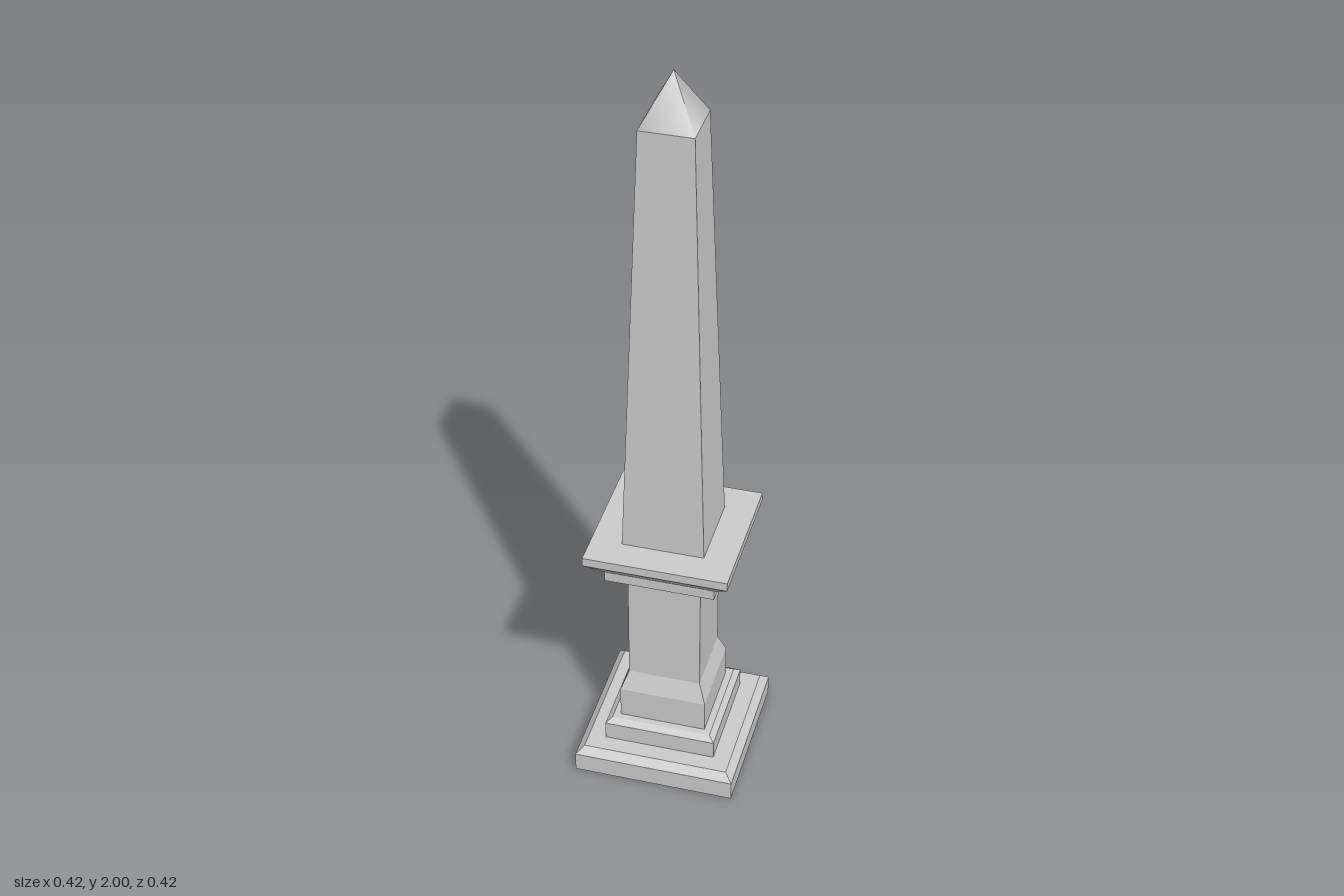
import * as THREE from 'three';

const stone = new THREE.MeshStandardMaterial({ color: 0xcccccc, flatShading: true });
const smoothStone = new THREE.MeshStandardMaterial({ color: 0xcccccc });

// Square moulding: profile of [half width, height] pairs, bottom to top, swept round four sides.
function squareMoulding(name, profile) {
  const points = profile.map(([half, y]) => new THREE.Vector2(half * Math.SQRT2, y));
  const mesh = new THREE.Mesh(new THREE.LatheGeometry(points, 4, Math.PI / 4), stone);
  mesh.name = name;
  return mesh;
}

export function createModel() {
  const group = new THREE.Group();
  group.name = 'obelisk';

  // Stepped base with chamfered top edges
  group.add(squareMoulding('plinth', [[0, 0], [0.212, 0], [0.212, 0.053], [0.192, 0.072], [0.13, 0.072]]));
  group.add(squareMoulding('step', [[0.147, 0.072], [0.147, 0.122], [0.132, 0.134], [0.1, 0.134]]));

  // Pedestal with a sloped foot
  group.add(squareMoulding('pedestal', [[0.114, 0.134], [0.114, 0.222], [0.095, 0.275], [0.095, 0.573]]));

  // Flaring cornice in two tiers
  group.add(squareMoulding('cornice', [
    [0.095, 0.573], [0.142, 0.612], [0.142, 0.643], [0.145, 0.643],
    [0.186, 0.686], [0.186, 0.71], [0.09, 0.71],
  ]));

  // Tapering shaft
  group.add(squareMoulding('shaft', [[0.106, 0.71], [0.067, 1.873]]));

  // Softly shaded pointed cap
  const cap = new THREE.Mesh(new THREE.ConeGeometry(0.067 * Math.SQRT2, 0.127, 4, 1, true), smoothStone);
  cap.name = 'pointedCap';
  cap.rotation.y = Math.PI / 4;
  cap.position.y = 1.873 + 0.127 / 2;
  group.add(cap);

  return group;
}
